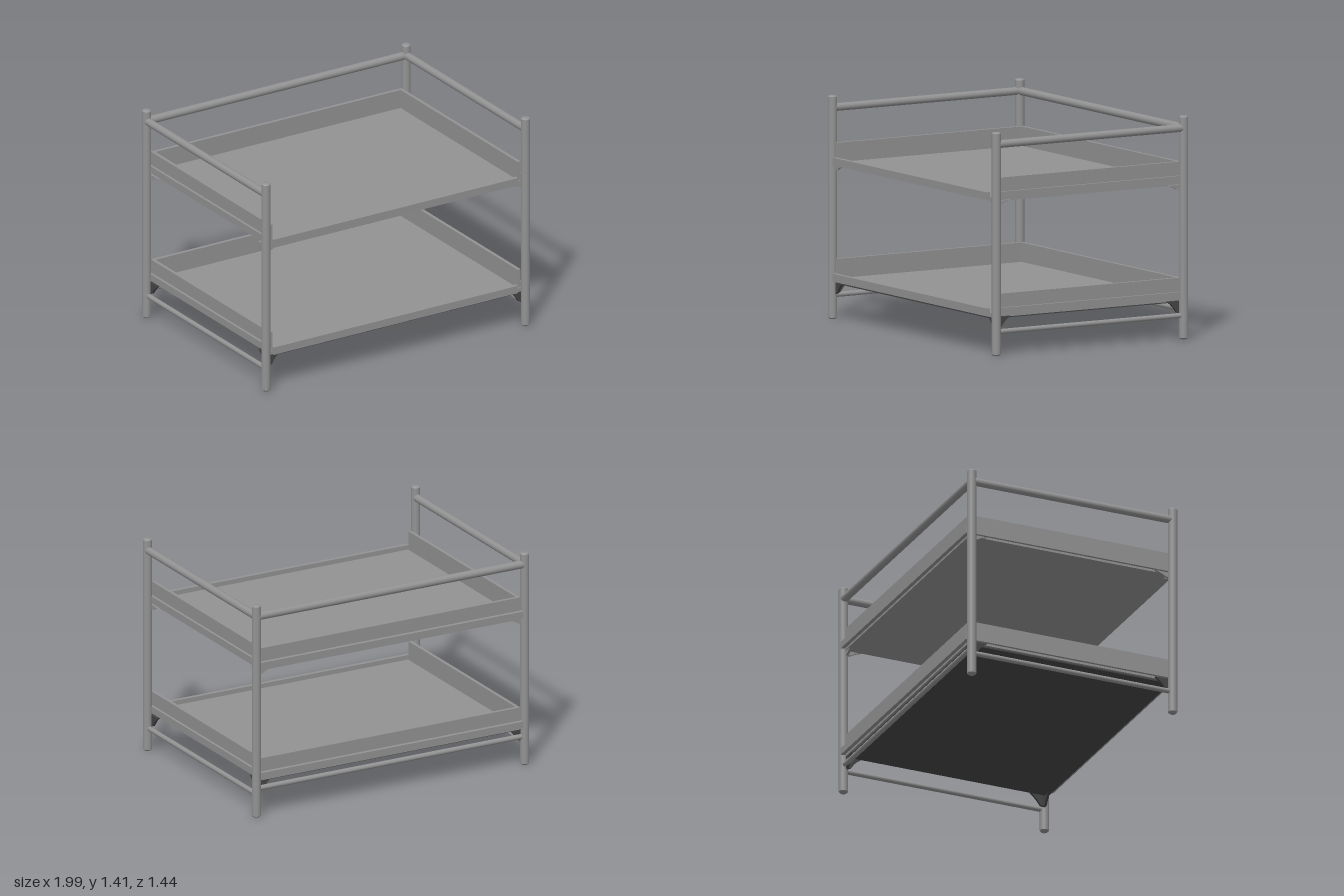
import * as THREE from 'three';

export function createModel() {
  const model = new THREE.Group();
  model.name = 'twoTierShelf';
  const steel = new THREE.MeshStandardMaterial({ color: 0x929292 });
  steel.name = 'grey steel';
  const dark = new THREE.MeshStandardMaterial({ color: 0x454545 });
  dark.name = 'dark underside';

  const PX = 0.967, ZF = 0.695, ZB = -0.692;

  const add = (parent, name, geo, mat, x = 0, y = 0, z = 0) => {
    const m = new THREE.Mesh(geo, mat);
    m.name = name;
    m.position.set(x, y, z);
    parent.add(m);
    return m;
  };
  const box = (parent, name, x0, x1, y0, y1, z0, z1, mat = steel) =>
    add(parent, name, new THREE.BoxGeometry(x1 - x0, y1 - y0, z1 - z0), mat,
      (x0 + x1) / 2, (y0 + y1) / 2, (z0 + z1) / 2);
  const rod = (name, r, len, axis, x, y, z) => {
    const m = add(model, name, new THREE.CylinderGeometry(r, r, len, 20), steel, x, y, z);
    if (axis === 'x') m.rotation.z = Math.PI / 2;
    if (axis === 'z') m.rotation.x = Math.PI / 2;
  };

  // Corner posts with softly rounded ends
  const R = 0.029, H = 1.415, c = 0.008;
  const profile = [[0, 0], [R - c, 0], [R, c], [R, c], [R, H - c], [R, H - c], [R - c, H], [0, H]]
    .map(p => new THREE.Vector2(...p));
  for (const x of [-PX, PX]) for (const z of [ZB, ZF])
    add(model, 'post', new THREE.LatheGeometry(profile, 24), steel, x, 0, z);

  // Guard rails on the back and sides, thin rails near the floor
  rod('backGuardRail', 0.026, 2 * PX, 'x', 0, 1.338, ZB);
  rod('backLowerRail', 0.017, 2 * PX, 'x', 0, 0.187, ZB);
  for (const s of [-1, 1]) {
    rod('sideGuardRail', 0.025, ZF - ZB, 'z', s * PX, 1.338, 0);
    rod('sideLowerRail', 0.016, ZF - ZB, 'z', s * PX, 0.15, 0);
  }

  // Triangular bracket in the plane of x (or z) with its upright edge at a post
  function gusset(parent, w, h, x, y, z, angle, mat) {
    const s = new THREE.Shape();
    s.moveTo(0, 0);
    s.lineTo(0, -h);
    s.lineTo(w * 0.3, -h * 0.85);
    s.quadraticCurveTo(w * 0.6, -h * 0.3, w, 0);
    s.closePath();
    const geo = new THREE.ExtrudeGeometry(s, { depth: 0.016, bevelEnabled: false, curveSegments: 6 });
    geo.translate(0, 0, -0.008);
    add(parent, 'cornerBracket', geo, mat, x, y, z).rotation.y = angle;
  }

  // Tray: floor, tall walls on three sides, low front lip, folded ledge outside
  function tray(name, y, gussetHeight, gussetMat) {
    const g = new THREE.Group();
    g.name = name;
    g.position.y = y;
    model.add(g);
    box(g, 'floor', -0.93, 0.93, 0, 0.025, -0.69, 0.70);
    box(g, 'frontLip', -0.925, 0.895, 0.005, 0.055, 0.695, 0.722);
    box(g, 'backWall', -0.93, 0.93, 0, 0.148, -0.695, -0.672);
    box(g, 'backLedge', -0.945, 0.945, 0.015, 0.06, -0.72, -0.69);
    for (const s of [-1, 1]) {
      const x0 = Math.min(s * 0.913, s * 0.935), x1 = Math.max(s * 0.913, s * 0.935);
      box(g, 'sideWall', x0, x1, 0, 0.148, -0.69, 0.69);
      const l0 = Math.min(s * 0.93, s * 0.952), l1 = Math.max(s * 0.93, s * 0.952);
      box(g, 'sideLedge', l0, l1, 0.015, 0.06, -0.69, 0.69);
      for (const z of [ZB + 0.012, ZF - 0.012]) {
        gusset(g, 0.09, gussetHeight, s * 0.945, 0.005, z, s > 0 ? Math.PI : 0, gussetMat);
        gusset(g, 0.1, gussetHeight, s * 0.945, 0.005, z, z > 0 ? Math.PI / 2 : -Math.PI / 2, gussetMat);
      }
    }
    return g;
  }
  tray('upperTray', 0.972, 0.035, steel);
  const lower = tray('lowerTray', 0.236, 0.085, dark);

  // Dark panel under the lower tray
  box(lower, 'undersidePanel', -0.92, 0.92, -0.009, 0, -0.68, 0.70, dark);

  return model;
}
